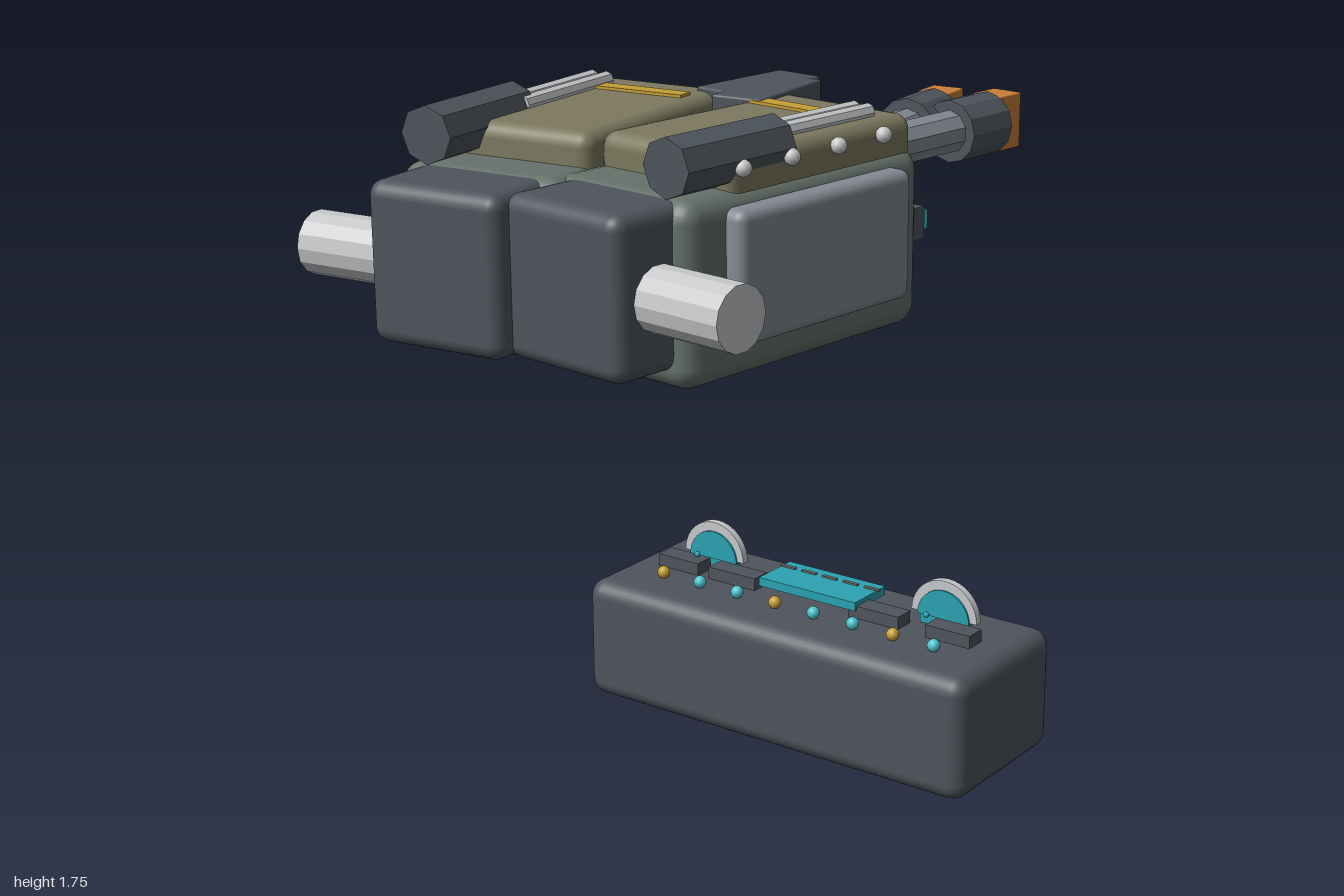
import * as THREE from 'three';
import { RoundedBoxGeometry } from 'three/addons/geometries/RoundedBoxGeometry.js';

const paint = (name, color) => {
  const m = new THREE.MeshStandardMaterial({ color, side: THREE.DoubleSide });
  m.name = name;
  return m;
};

export function createModel() {
  const dark = paint('dark steel', 0x4f555d);
  const green = paint('green grey', 0x66726b);
  const olive = paint('olive', 0x7d795f);
  const grey = paint('mid grey', 0x848b93);
  const silver = paint('silver', 0xc6c8ca);
  const yellow = paint('yellow', 0xc6a035);
  const teal = paint('teal', 0x2ba3b2);
  const cyan = paint('bright cyan', 0x4cc4cc);
  const orange = paint('orange', 0xcb8039);

  const model = new THREE.Group();
  model.name = 'model';

  const add = (parent, name, geo, mat, x, y, z) => {
    const m = new THREE.Mesh(geo, mat);
    m.name = name;
    m.position.set(x, y, z);
    parent.add(m);
    return m;
  };
  // Box given by its ranges on each axis, with optional rounding
  const box = (parent, name, mat, [x0, x1], [y0, y1], [z0, z1], r = 0) => {
    const w = Math.abs(x1 - x0), h = y1 - y0, d = z1 - z0;
    const geo = r ? new RoundedBoxGeometry(w, h, d, 3, r) : new THREE.BoxGeometry(w, h, d);
    return add(parent, name, geo, mat, (x0 + x1) / 2, (y0 + y1) / 2, (z0 + z1) / 2);
  };
  // Faceted cylinder lying along x or z
  const rod = (parent, name, mat, axis, r, a, b, u, y, sides = 10) => {
    let geo = new THREE.CylinderGeometry(r, r, b - a, sides);
    if (axis === 'x') geo.rotateZ(Math.PI / 2);
    else geo.rotateX(Math.PI / 2);
    geo = geo.toNonIndexed();
    geo.computeVertexNormals();
    const mid = (a + b) / 2;
    return add(parent, name, geo, mat, axis === 'x' ? mid : u, y, axis === 'x' ? u : mid);
  };

  // One gun unit; s = 1 for the left (+x), -1 for its mirror
  const unit = (s) => {
    const g = new THREE.Group();
    g.name = s > 0 ? 'leftUnit' : 'rightUnit';
    const X = (a, b) => [s * a, s * b];

    // Hull
    box(g, 'hull', green, X(0.07, 0.5), [1.22, 1.63], [-0.03, 0.74], 0.05);
    box(g, 'topCover', olive, X(0.09, 0.48), [1.58, 1.705], [-0.02, 0.59], 0.035);
    box(g, 'frontBlock', dark, X(0.115, 0.46), [1.265, 1.625], [0.66, 0.9], 0.035);
    box(g, 'sidePanel', grey, X(0.47, 0.545), [1.305, 1.6], [0.06, 0.62], 0.025);
    box(g, 'coverStripe', yellow, X(0.13, 0.39), [1.7, 1.712], [0.1, 0.145]);
    box(g, 'innerStripe', yellow, X(0, 0.085), [1.63, 1.645], [0.1, 0.18]);
    rod(g, 'sideCylinder', silver, 'x', 0.073, s > 0 ? 0.42 : -0.69, s > 0 ? 0.69 : -0.42, 0.78, 1.435, 14);

    // Tube and twin rods on the roof
    rod(g, 'roofTube', dark, 'z', 0.066, 0.39, 0.72, s * 0.425, 1.692, 8);
    for (const x of [0.38, 0.42]) rod(g, 'roofRod', silver, 'z', 0.02, 0.07, 0.42, s * x, 1.713, 8);
    for (let i = 0; i < 4; i++)
      add(g, 'bolt', new THREE.SphereGeometry(0.019, 10, 8), silver, s * 0.49, 1.675, 0.1 + i * 0.152);

    // Receiver, optic and barrel
    box(g, 'receiver', grey, [-0.095, 0.095], [1.39, 1.595], [-0.31, 0.02], 0.008);
    if (s > 0) box(g, 'receiverBox', dark, [0.09, 0.125], [1.42, 1.57], [-0.19, 0]);
    box(g, 'optic', dark, [-0.065, 0.065], [1.59, 1.715], [-0.175, 0.115], 0.006);
    box(g, 'opticLens', teal, [-0.045, 0.045], [1.63, 1.695], [-0.185, -0.174]);
    rod(g, 'barrel', grey, 'z', 0.056, -0.78, -0.29, 0, 1.482);
    rod(g, 'muzzle', dark, 'z', 0.082, -0.92, -0.76, 0, 1.482, 12);
    box(g, 'muzzleTip', orange, [-0.045, 0.045], [1.41, 1.555], [-1.005, -0.915], 0.004);

    // Device slung below the barrel
    box(g, 'lowerRail', dark, [-0.05, 0.05], [1.252, 1.325], [-0.56, -0.06]);
    box(g, 'lowerHead', dark, [-0.035, 0.035], [1.23, 1.315], [-0.62, -0.37]);
    box(g, 'lowerLens', cyan, [-0.025, 0.025], [1.25, 1.3], [-0.645, -0.62]);
    for (let i = 0; i < 5; i++)
      box(g, 'railTooth', dark, [-0.03, 0.03], [1.243, 1.253], [-0.33 + i * 0.05, -0.3 + i * 0.05]);

    model.add(g);
    return g;
  };

  const left = unit(1);
  left.position.set(-0.034, 0, 0);
  left.rotation.y = THREE.MathUtils.degToRad(-6.5);
  const right = unit(-1);
  right.position.set(0.03, 0, 0.047);
  right.rotation.y = THREE.MathUtils.degToRad(6);

  // Blade on one side only
  box(right, 'blade', grey, [-0.25, -0.22], [1.325, 1.47], [-0.46, -0.02]);
  box(right, 'bladeEdge', cyan, [-0.248, -0.222], [1.47, 1.485], [-0.465, -0.02]);

  // Console
  const console_ = new THREE.Group();
  console_.name = 'console';
  model.add(console_);
  box(console_, 'consoleBody', dark, [-0.583, 0.58], [0.005, 0.33], [-0.452, -0.01], 0.045);
  box(console_, 'screen', teal, [-0.155, 0.145], [0.352, 0.375], [-0.34, -0.2]);
  for (let i = 0; i < 5; i++) {
    const x = -0.132 + i * 0.065;
    box(console_, 'screenDash', green, [x, x + 0.045], [0.39, 0.395], [-0.275, -0.265]);
  }
  for (const [a, b] of [[-0.49, -0.36], [-0.325, -0.175], [0.12, 0.27], [0.35, 0.48]])
    box(console_, 'keyBlock', dark, [a, b], [0.325, 0.363], [-0.265, -0.208]);

  // Half-round dials
  const halfDisc = (r, d) =>
    new THREE.CylinderGeometry(r, r, d, 20, 1, false, Math.PI / 2, Math.PI).rotateX(Math.PI / 2);
  for (const x of [-0.363, 0.357]) {
    add(console_, 'dialRim', halfDisc(0.096, 0.02), silver, x, 0.36, -0.295);
    add(console_, 'dialFace', halfDisc(0.076, 0.03), teal, x, 0.355, -0.295);
    box(console_, 'dialFoot', teal, [x - 0.07, x + 0.07], [0.328, 0.356], [-0.305, -0.285]);
    for (const [dx, dy, z] of [[-0.025, 0.375, -0.345], [0.005, 0.385, -0.355], [0.03, 0.375, -0.345], [-0.03, 0.37, -0.25]])
      add(console_, 'dialBead', new THREE.SphereGeometry(0.008, 8, 6), teal, x + dx, dy, z);
  }

  // Row of buttons
  for (let i = 0; i < 8; i++)
    add(console_, 'button', new THREE.SphereGeometry(0.017, 10, 8), i % 3 ? cyan : yellow, -0.425 + i * 0.12, 0.345, -0.145);

  return model;
}
